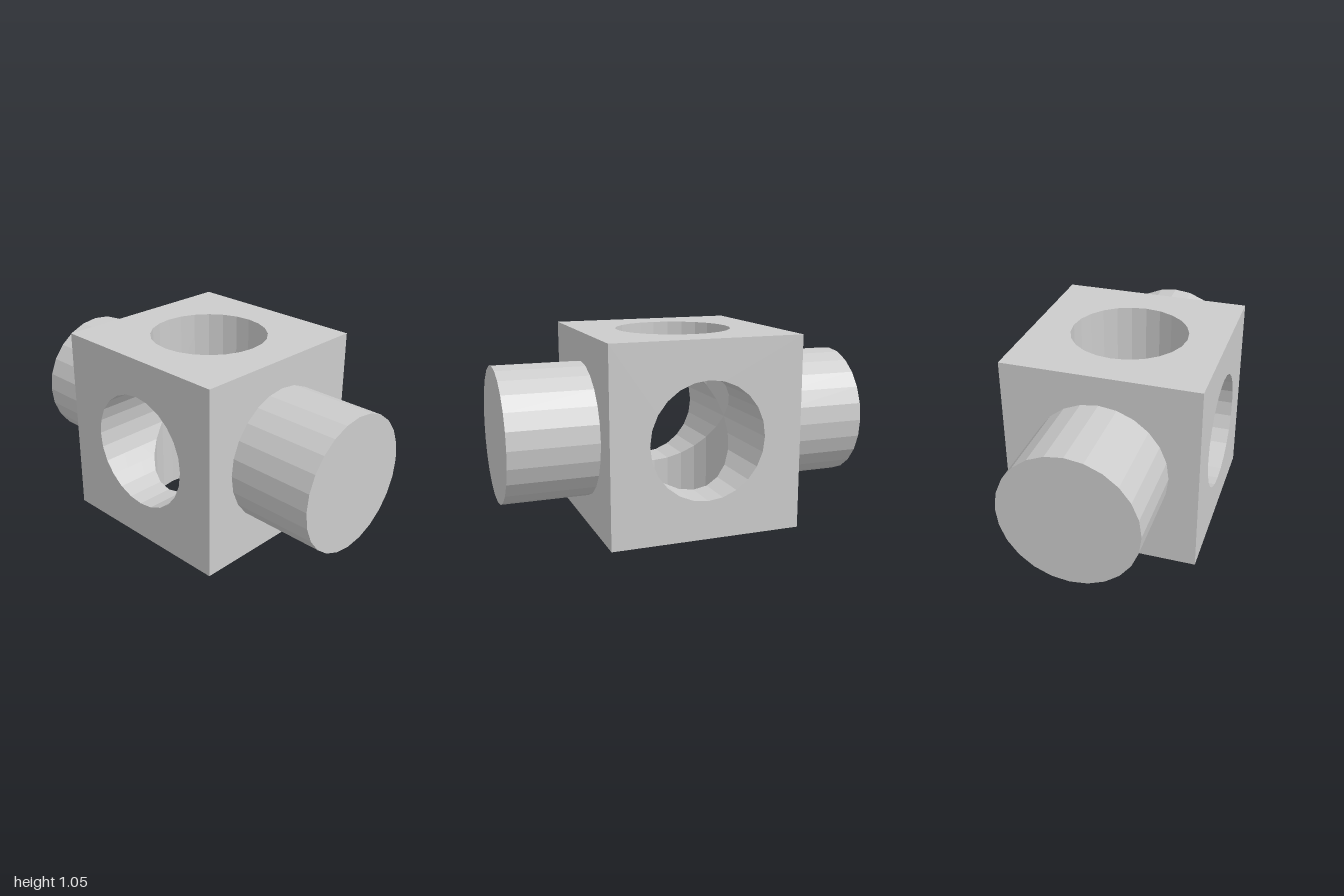
import * as THREE from 'three';

const HALF = 0.525;   // half the cube's side
const BORE = 0.317;   // radius of the two crossing bores
const STUB = 0.367;   // radius of the round stubs
const REACH = 1;      // distance from the centre to a stub's end
const SIDES = 24;

const material = new THREE.MeshStandardMaterial({ color: 0xcccccc, flatShading: true });

function addMesh(parent, name, geometry) {
  const mesh = new THREE.Mesh(geometry, material);
  mesh.name = name;
  parent.add(mesh);
}

// Square cube face with a round opening, facing +z
function facePlate(radius) {
  const shape = new THREE.Shape();
  shape.moveTo(-HALF, -HALF).lineTo(HALF, -HALF).lineTo(HALF, HALF).lineTo(-HALF, HALF).closePath();
  const rim = [];
  for (let i = 0; i < SIDES; i++) {
    const a = (i / SIDES) * Math.PI * 2;
    rim.push(new THREE.Vector2(Math.cos(a) * radius, Math.sin(a) * radius));
  }
  shape.holes.push(new THREE.Path(rim));
  return new THREE.ShapeGeometry(shape).translate(0, 0, HALF);
}

// Inner wall of a vertical bore, from the seam with the crossing bore up to the face
function boreWall() {
  const geometry = new THREE.PlaneGeometry(1, 1, SIDES, 3);
  const p = geometry.attributes.position;
  for (let i = 0; i < p.count; i++) {
    const a = -(p.getX(i) + 0.5) * Math.PI * 2;
    const x = Math.sin(a) * BORE;
    const y = THREE.MathUtils.lerp(Math.abs(x), HALF, p.getY(i) + 0.5);
    p.setXYZ(i, x, y, Math.cos(a) * BORE);
  }
  geometry.computeVertexNormals();
  return geometry;
}

// Closed round stub pointing along +z
function stub() {
  const profile = [[STUB, HALF], [STUB, REACH], [0, REACH]].map(([x, y]) => new THREE.Vector2(x, y));
  return new THREE.LatheGeometry(profile, SIDES).rotateX(Math.PI / 2);
}

export function createModel() {
  const model = new THREE.Group();
  model.name = 'crossBoredBlock';

  // Four bored sides around the z axis
  ['top', 'left', 'bottom', 'right'].forEach((name, i) => {
    const side = new THREE.Group();
    side.name = name + 'BoredSide';
    addMesh(side, 'face', facePlate(BORE).rotateX(-Math.PI / 2));
    addMesh(side, 'boreWall', boreWall());
    side.rotation.z = -i * Math.PI / 2;
    side.position.y = HALF;
    model.add(side);
  });

  // Front and back ends with their stubs
  ['front', 'back'].forEach((name, i) => {
    const end = new THREE.Group();
    end.name = name + 'End';
    addMesh(end, 'face', facePlate(STUB));
    addMesh(end, 'stub', stub());
    end.rotation.y = i * Math.PI;
    end.position.y = HALF;
    model.add(end);
  });

  return model;
}
